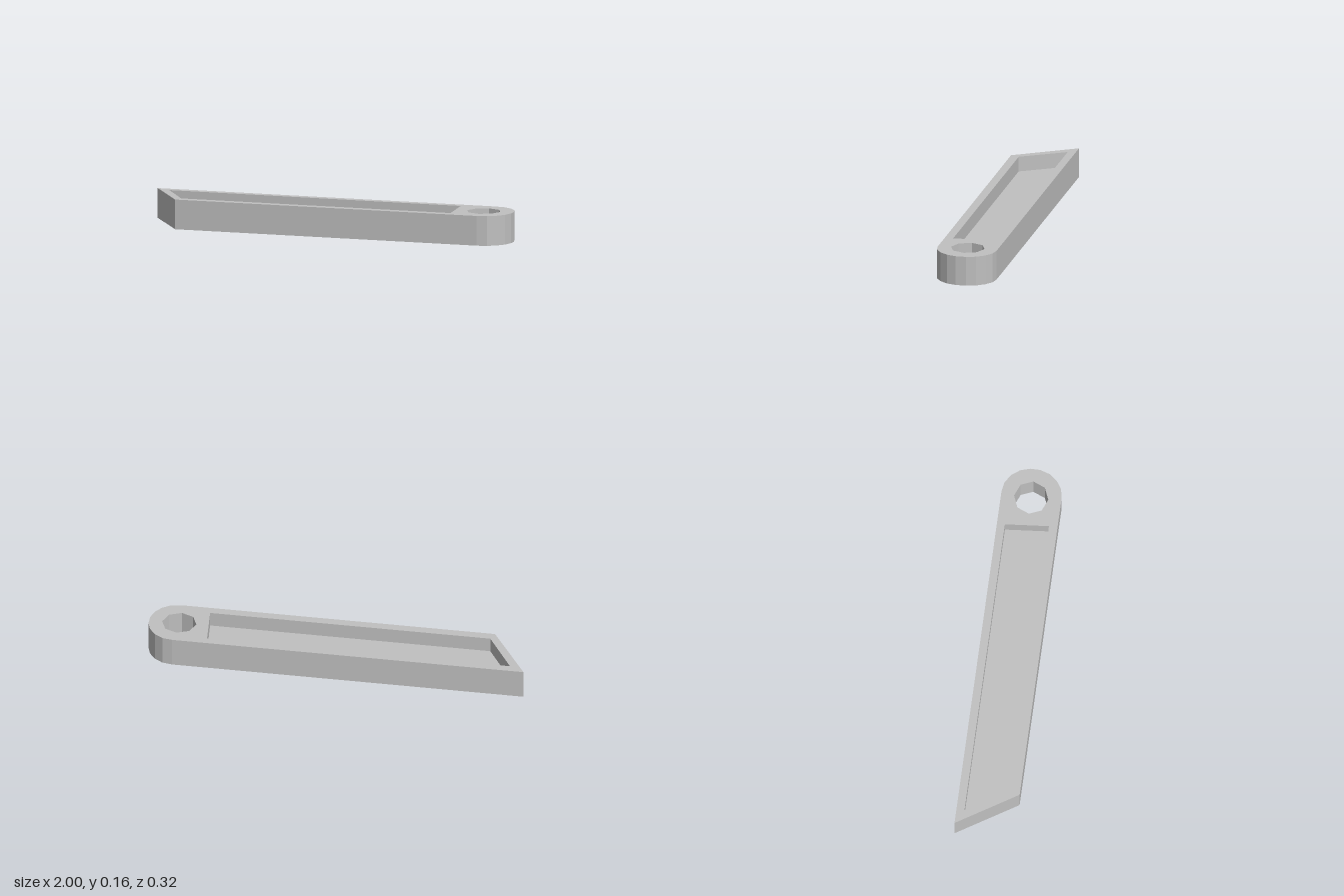
import * as THREE from 'three';

const HEIGHT = 0.157;
const POCKET_FLOOR = 0.077;

// Plan points are [x, z]; shapes are drawn with z flipped, then laid flat.
const toPlan = (points) => points.map(([x, z]) => new THREE.Vector2(x, -z));

function extrudeUp(shape, height) {
  const geometry = new THREE.ExtrudeGeometry(shape, { depth: height, bevelEnabled: false });
  return geometry.rotateX(-Math.PI / 2);
}

export function createModel() {
  const model = new THREE.Group();
  model.name = 'slantedArm';

  const grey = new THREE.MeshStandardMaterial({ color: 0xc0c0c0, flatShading: true });
  grey.name = 'grey';

  // Outline: slanted end at -x, faceted round end at +x
  const roundEnd = [[0.855, 0.158], [0.908, 0.149], [0.952, 0.12], [0.984, 0.078], [1, 0.027]];
  const mirrored = roundEnd.map(([x, z]) => [x, -z]).reverse();
  const outline = new THREE.Shape(toPlan([[-1, -0.158], [-0.8, 0.158], ...roundEnd, ...mirrored]));

  // Eight-sided pivot hole through the round end
  const hole = [];
  for (let i = 0; i < 8; i++) {
    const a = (i / 8) * Math.PI * 2;
    hole.push([0.842 + 0.09 * Math.cos(a), 0.09 * Math.sin(a)]);
  }

  // Long pocket sunk into the top
  const pocket = toPlan([[-0.922, -0.116], [-0.782, 0.113], [0.697, 0.113], [0.677, -0.116]]);

  outline.holes.push(new THREE.Path(toPlan(hole)), new THREE.Path(pocket));
  const body = new THREE.Mesh(extrudeUp(outline, HEIGHT), grey);
  body.name = 'armBody';
  model.add(body);

  // Solid floor filling the lower half of the pocket
  const floor = new THREE.Mesh(extrudeUp(new THREE.Shape(pocket), POCKET_FLOOR), grey);
  floor.name = 'pocketFloor';
  model.add(floor);

  return model;
}
